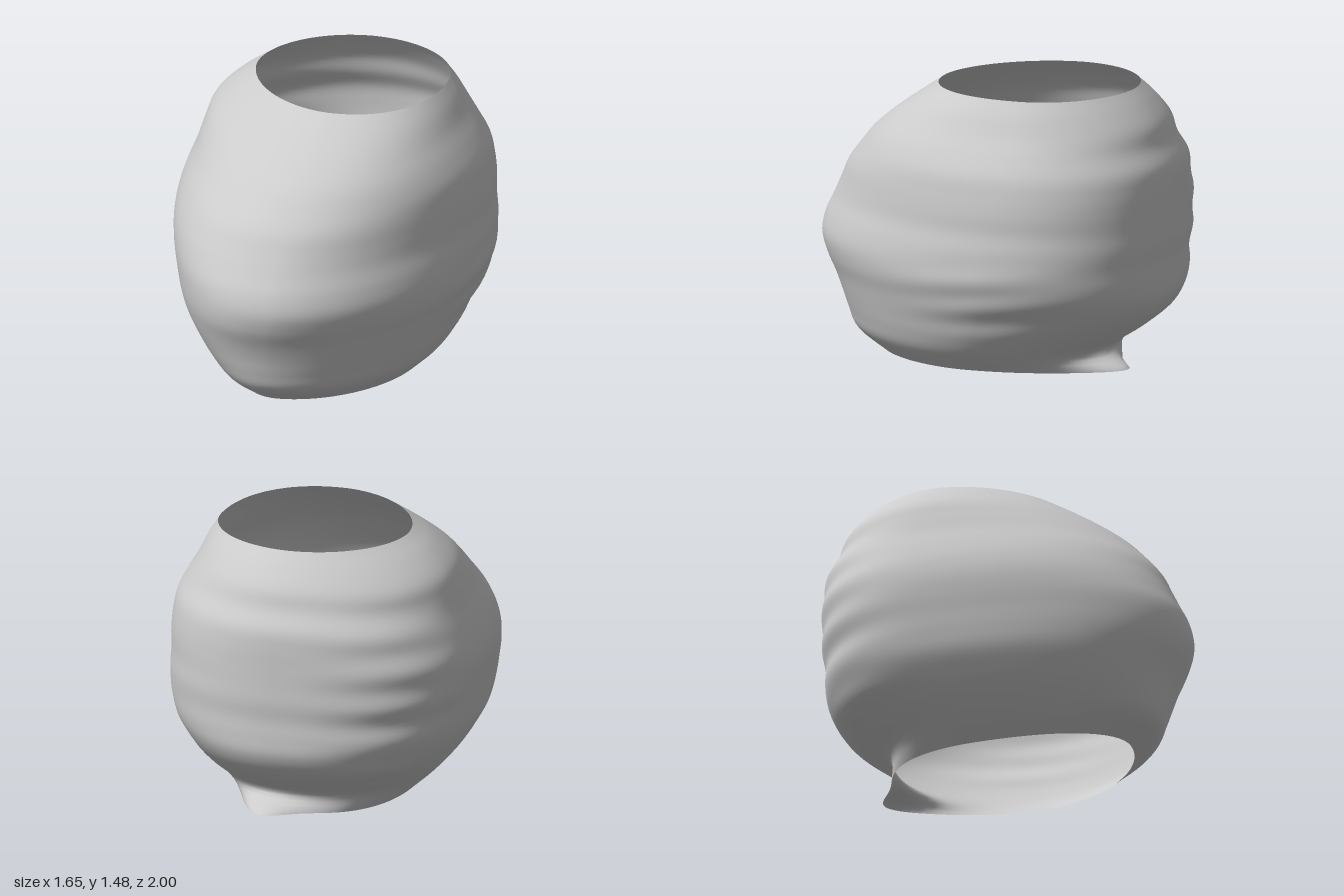
import * as THREE from 'three';

// Horizontal sections: y, xMin, xMax, zBack, zFront, z of widest point, x of front tip
const SECTIONS = [
  [0.00, -0.42, 0.49, -0.66, 0.68, 0.00, -0.12],
  [0.10, -0.53, 0.60, -0.66, 0.82, -0.03, -0.13],
  [0.20, -0.62, 0.67, -0.80, 0.87, -0.08, -0.14],
  [0.30, -0.69, 0.72, -0.92, 0.91, -0.13, -0.14],
  [0.40, -0.75, 0.77, -0.98, 0.94, -0.18, -0.13],
  [0.50, -0.78, 0.81, -0.99, 0.98, -0.21, -0.12],
  [0.60, -0.80, 0.82, -0.99, 1.00, -0.23, -0.10],
  [0.70, -0.82, 0.82, -1.00, 0.98, -0.25, -0.10],
  [0.80, -0.83, 0.81, -1.00, 0.93, -0.26, -0.09],
  [0.90, -0.82, 0.81, -1.00, 0.88, -0.27, -0.07],
  [1.00, -0.79, 0.80, -1.00, 0.83, -0.28, -0.05],
  [1.10, -0.75, 0.78, -0.99, 0.75, -0.28, -0.02],
  [1.20, -0.72, 0.73, -0.94, 0.66, -0.29, 0.02],
  [1.30, -0.68, 0.67, -0.91, 0.54, -0.30, 0.05],
  [1.40, -0.58, 0.62, -0.84, 0.40, -0.30, 0.07],
  [1.48, -0.46, 0.57, -0.77, 0.28, -0.30, 0.08],
];
const ROWS = 75, SEGS = 112;

const { lerp, smoothstep } = THREE.MathUtils;
const spline = (a, b, c) => new THREE.CatmullRomCurve3(
  SECTIONS.map((s) => new THREE.Vector3(s[a], s[b], s[c])), false, 'catmullrom', 0.5);
const bell = (v, centre, width) => Math.exp(-(((v - centre) / width) ** 2));
const power = (v, n) => Math.sign(v) * Math.abs(v) ** (2 / n);

// Roundness of each quarter of a section, changing towards the top rim
function roundness(c, s, y) {
  const t = smoothstep(y, 0.8, 1.48);
  if (s > 0) return c > 0 ? lerp(1.8, 2.2, t) : lerp(2.3, 1.8, t);
  return c > 0 ? lerp(2.2, 1.95, t) : lerp(2.35, 1.95, t);
}

// Shallow surface relief, as an outward scale factor
function relief(x, y, z) {
  const angle = Math.atan2(z + 0.2, x);
  const fade = smoothstep(y, 0.1, 0.3) * (1 - smoothstep(y, 1.15, 1.4));
  const backRibs = -0.009 * Math.cos((y - 0.78) * Math.PI * 2 / 0.195) * bell(angle, -2.3, 0.4) * fade;
  const sideRibs = 0.008 * Math.sin(y * 36 + angle * 3) * bell(angle, 0, 0.5) * bell(y, 0.4, 0.2) * fade;
  const frontDent = -0.016 * bell(angle, 1.75, 0.3) * bell(y, 0.3, 0.1);
  return 1 + backRibs + sideRibs + frontDent;
}

// Open, thin-walled shell lofted through the sections
function shellGeometry() {
  const heightAndSides = spline(0, 1, 2), depths = spline(3, 4, 5), tips = spline(6, 6, 6);
  const positions = [], indices = [];
  for (let i = 0; i <= ROWS; i++) {
    const { x: y, y: xMin, z: xMax } = heightAndSides.getPoint(i / ROWS);
    const { x: zBack, y: zFront, z: zMid } = depths.getPoint(i / ROWS);
    const frontTip = tips.getPoint(i / ROWS).x;
    for (let j = 0; j < SEGS; j++) {
      const a = (j / SEGS) * Math.PI * 2, c = Math.cos(a), s = Math.sin(a);
      const n = roundness(c, s, y);
      const centre = s > 0 ? frontTip : 0.05;
      let x = centre + (c > 0 ? xMax - centre : centre - xMin) * power(c, n);
      let z = zMid + (s > 0 ? zFront - zMid : zMid - zBack) * power(s, n);
      const k = relief(x, y, z);
      x *= k;
      z = zMid + (z - zMid) * k;
      // Small flared lip at the back of the lower rim
      if (s < 0) z -= 0.15 * bell(x, 0.22, 0.17) * bell(y, 0, 0.05);
      positions.push(x, Math.max(0, y), z);
      if (i < ROWS) {
        const p = i * SEGS + j, q = i * SEGS + (j + 1) % SEGS;
        indices.push(p, p + SEGS, q, q, p + SEGS, q + SEGS);
      }
    }
  }
  const geometry = new THREE.BufferGeometry();
  geometry.setAttribute('position', new THREE.Float32BufferAttribute(positions, 3));
  geometry.setIndex(indices);
  geometry.computeVertexNormals();
  return geometry;
}

export function createModel() {
  const group = new THREE.Group();
  group.name = 'openVessel';
  const material = new THREE.MeshStandardMaterial({ color: 0xcccccc, side: THREE.DoubleSide });
  const shell = new THREE.Mesh(shellGeometry(), material);
  shell.name = 'shell';
  group.add(shell);
  return group;
}
